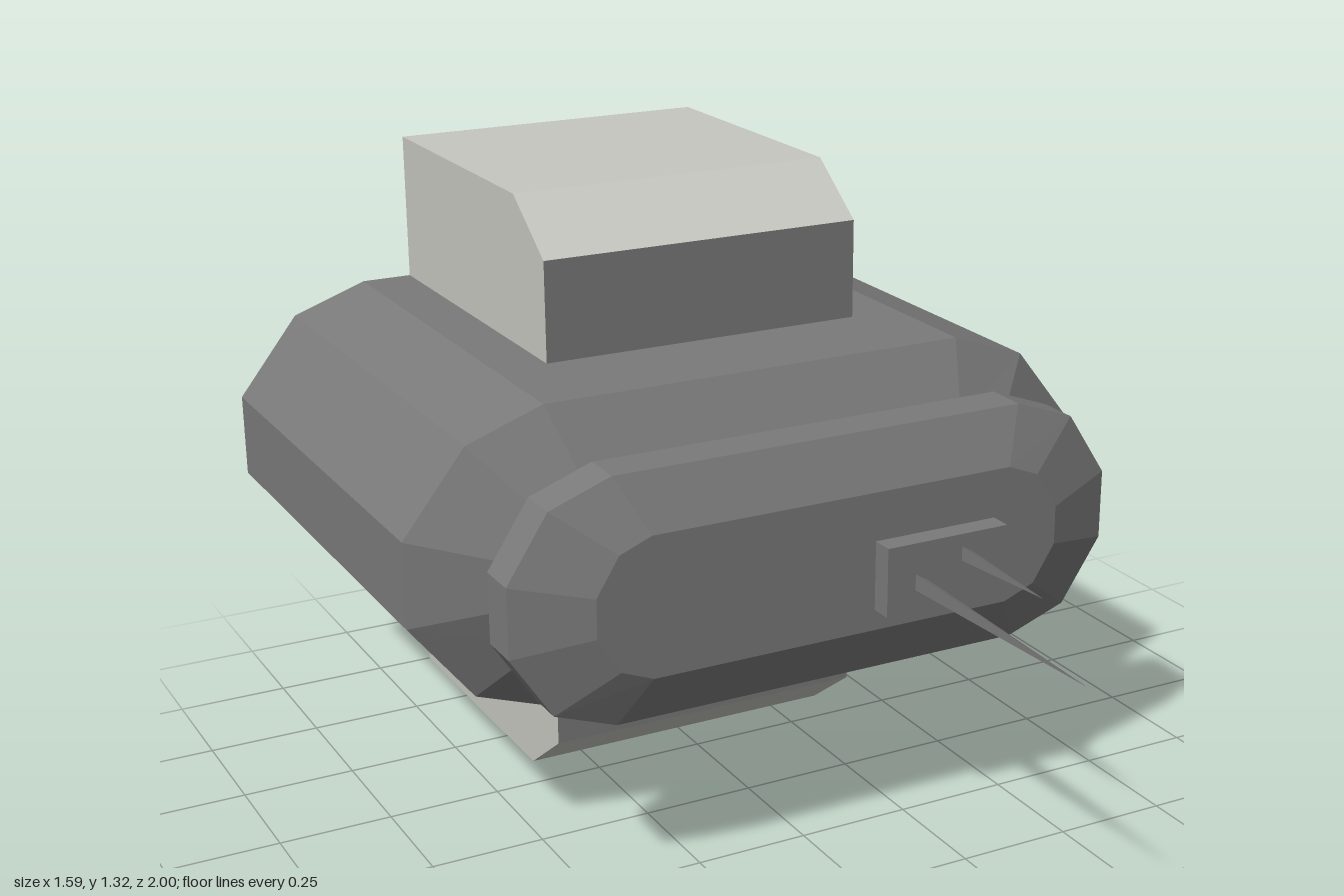
import * as THREE from 'three';

const MID = 0.66; // height of the centre line

// Twelve-sided stadium outline, counter-clockwise, from three corner points of one quadrant
function outline(corners) {
  const up = [...corners].reverse();
  return [
    ...up,
    ...corners.map(([x, y]) => [-x, y]),
    ...up.map(([x, y]) => [-x, -y]),
    ...corners.map(([x, y]) => [x, -y]),
  ];
}

// Joins outlines from back to front and closes both ends
function loft(sections) {
  const pos = [];
  const index = [];
  const n = 12;
  sections.forEach(({ z, corners }) => outline(corners).forEach(([x, y]) => pos.push(x, y + MID, z)));
  for (let s = 0; s < sections.length - 1; s++) {
    for (let i = 0; i < n; i++) {
      const a = s * n + i;
      const b = s * n + ((i + 1) % n);
      index.push(a, b, b + n, a, b + n, a + n);
    }
  }
  const front = (sections.length - 1) * n;
  for (let i = 1; i < n - 1; i++) {
    index.push(0, i + 1, i, front, front + i, front + i + 1);
  }
  const g = new THREE.BufferGeometry();
  g.setAttribute('position', new THREE.Float32BufferAttribute(pos, 3));
  g.setIndex(index);
  const flat = g.toNonIndexed();
  flat.computeVertexNormals();
  return flat;
}

export function createModel() {
  const group = new THREE.Group();
  const darkGrey = new THREE.MeshStandardMaterial({ color: 0x7a7a7a });
  darkGrey.name = 'darkGrey';
  const lightGrey = new THREE.MeshStandardMaterial({ color: 0xc6c7c0 });
  lightGrey.name = 'lightGrey';

  const add = (name, geometry, material) => {
    const mesh = new THREE.Mesh(geometry, material);
    mesh.name = name;
    group.add(mesh);
    return mesh;
  };

  // Hull, neck groove and nose, corners listed from the top edge to the side edge
  const hull = [[0.485, 0.33], [0.655, 0.27], [0.795, 0.093]];
  const neck = [[0.44, 0.18], [0.545, 0.145], [0.615, 0.05]];
  const nose = [[0.465, 0.262], [0.6, 0.213], [0.69, 0.075]];
  const face = [[0.41, 0.15], [0.48, 0.122], [0.53, 0.042]];
  add('hull', loft([
    { z: -1, corners: hull },
    { z: 0.045, corners: hull },
    { z: 0.142, corners: neck },
    { z: 0.19, corners: neck },
    { z: 0.225, corners: nose },
    { z: 0.317, corners: nose },
    { z: 0.375, corners: face },
  ]), darkGrey);

  // Upright block through the hull, with bevelled front corners
  const profile = new THREE.Shape([
    [-1, 0], [-0.35, 0], [-0.2, 0.11], [-0.2, 1.21], [-0.35, 1.32], [-1, 1.32],
  ].map(([z, y]) => new THREE.Vector2(-z, y)));
  const block = new THREE.ExtrudeGeometry(profile, { depth: 0.74, bevelEnabled: false });
  block.translate(0, 0, -0.37).rotateY(Math.PI / 2);
  // Front and back faces are dark, all others light
  block.clearGroups();
  const normals = block.getAttribute('normal');
  for (let i = 0; i < normals.count; i += 3) {
    block.addGroup(i, 3, Math.abs(normals.getZ(i)) > 0.95 ? 1 : 0);
  }
  add('uprightBlock', block, [lightGrey, darkGrey]);

  // Antenna base plate
  add('antennaPlate', new THREE.BoxGeometry(0.285, 0.15, 0.06), darkGrey).position.set(0.233, 0.63, 0.393);

  // Three-sided antenna spikes
  const spike = (name, x, y, radius, tip) => {
    const base = 0.42;
    const g = new THREE.ConeGeometry(radius, tip - base, 3).toNonIndexed();
    g.computeVertexNormals();
    g.rotateY(Math.PI / 2).rotateX(Math.PI / 2);
    add(name, g, darkGrey).position.set(x, y, (base + tip) / 2);
  };
  spike('longAntenna', 0.167, 0.62, 0.02, 1);
  spike('shortAntenna', 0.276, 0.662, 0.018, 0.7);

  return group;
}
